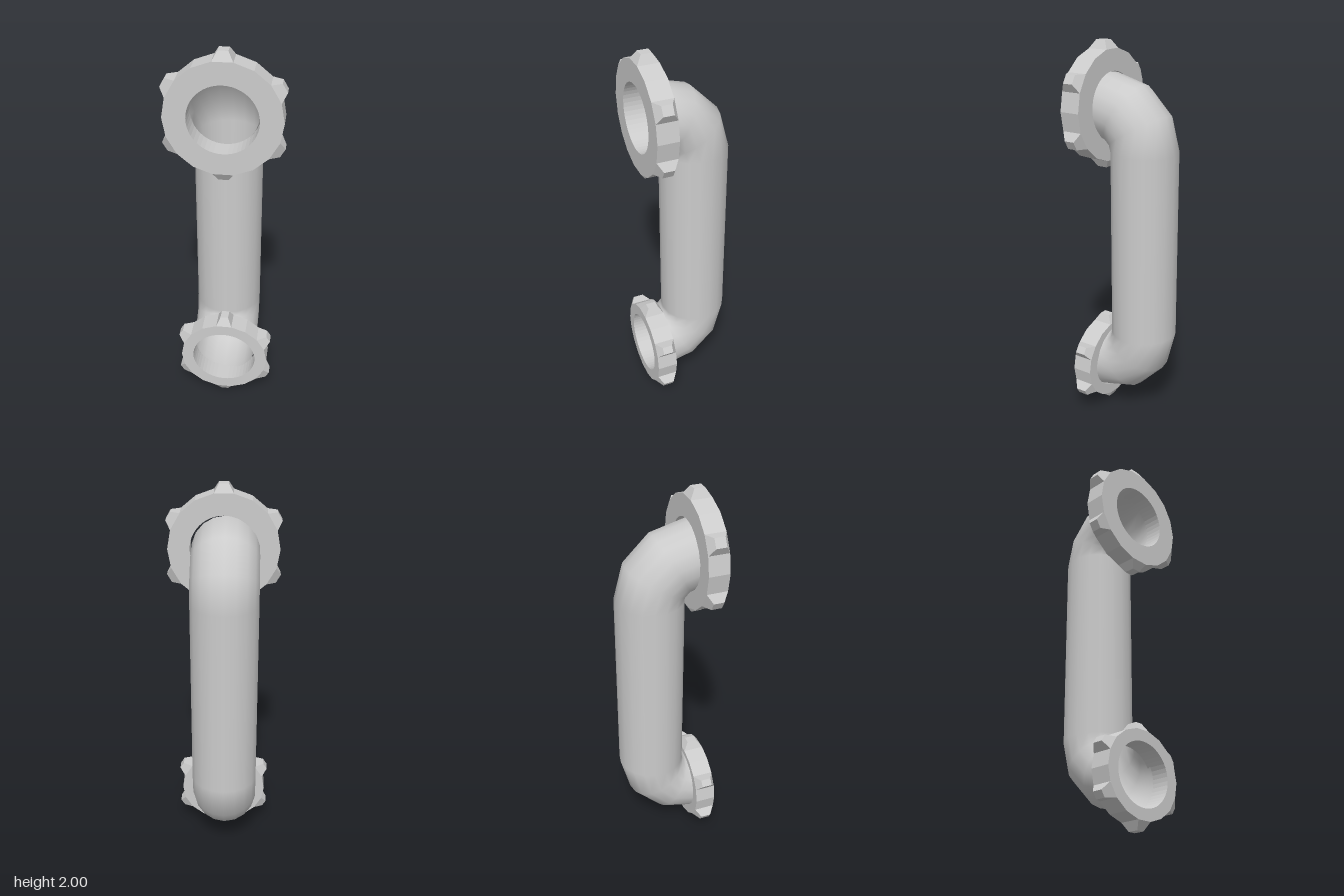
import * as THREE from 'three';

const SIDES = 18;

// Open pipe: two quarter bends joined by a straight run, one loop per bend step
function createPipe(material) {
  const pipeRadius = 0.173, bendRadius = 0.208, bendZ = 0.141;
  const stations = [];
  for (const a of [90, 60, 30, 0]) stations.push([a, 1.465]);
  for (const a of [0, -30, -60, -90]) stations.push([a, 0.475]);
  const geometry = new THREE.PlaneGeometry(1, 1, SIDES, stations.length - 1);
  const position = geometry.attributes.position, normal = geometry.attributes.normal;
  stations.forEach(([degrees, centreY], row) => {
    const a = THREE.MathUtils.degToRad(degrees);
    for (let i = 0; i <= SIDES; i++) {
      const u = (i / SIDES) * Math.PI * 2;
      const k = row * (SIDES + 1) + i;
      const out = bendRadius + pipeRadius * Math.cos(u);
      position.setXYZ(k, -pipeRadius * Math.sin(u), centreY + out * Math.sin(a), bendZ - out * Math.cos(a));
      normal.setXYZ(k, -Math.sin(u), Math.cos(u) * Math.sin(a), -Math.cos(u) * Math.cos(a));
    }
  });
  const pipe = new THREE.Mesh(geometry, material);
  pipe.name = 'pipe';
  return pipe;
}

// Box narrowed to half size at its outer end
function createLugGeometry(width, height, depth) {
  const geometry = new THREE.BoxGeometry(width, height, depth).toNonIndexed();
  const p = geometry.attributes.position;
  for (let i = 0; i < p.count; i++) {
    if (p.getY(i) > 0) p.setXYZ(i, p.getX(i) * 0.5, p.getY(i), p.getZ(i) * 0.5);
  }
  geometry.computeVertexNormals();
  return geometry;
}

// Eighteen-sided collar with a round hole and a lug on every third face
function createCollar(name, radius, tipRadius, holeRadius, material) {
  const depth = 0.107;
  const collar = new THREE.Group();
  collar.name = name;

  // Counter-clockwise outline, clockwise hole
  const outline = [];
  for (let i = 0; i < SIDES; i++) {
    const a = THREE.MathUtils.degToRad(10 + i * 20);
    outline.push(new THREE.Vector2(-radius * Math.sin(a), radius * Math.cos(a)));
  }
  const shape = new THREE.Shape(outline);
  shape.holes.push(new THREE.Path().absarc(0, 0, holeRadius, 0, Math.PI * 2, true));
  const bodyGeometry = new THREE.ExtrudeGeometry(shape, { depth, bevelEnabled: false, curveSegments: 24 });
  bodyGeometry.translate(0, 0, -depth / 2);
  const body = new THREE.Mesh(bodyGeometry, material);
  body.name = name + 'Body';
  collar.add(body);

  const half = Math.PI / SIDES;
  const apothem = radius * Math.cos(half);
  const lugGeometry = createLugGeometry(2 * radius * Math.sin(half), tipRadius - apothem, depth);
  lugGeometry.translate(0, (tipRadius + apothem) / 2, 0);
  for (let i = 0; i < 6; i++) {
    const lug = new THREE.Mesh(lugGeometry, material);
    lug.name = name + 'Lug';
    lug.rotation.z = (i * Math.PI) / 3;
    collar.add(lug);
  }
  return collar;
}

export function createModel() {
  const model = new THREE.Group();
  model.name = 'pipeFitting';
  const smooth = new THREE.MeshStandardMaterial({ color: 0xcccccc, side: THREE.DoubleSide });
  const faceted = new THREE.MeshStandardMaterial({ color: 0xcccccc, flatShading: true, side: THREE.DoubleSide });

  const pipe = createPipe(smooth);
  pipe.position.x = -0.0155;
  pipe.rotation.y = 0.027;
  model.add(pipe);

  // The upper collar is the larger one; the lower is slightly wider than tall
  const upper = createCollar('upperCollar', 0.282, 0.32, 0.17, faceted);
  upper.position.set(0, 1.68, 0.176);
  const lower = createCollar('lowerCollar', 0.218, 0.257, 0.158, faceted);
  lower.position.set(0, 0.259, 0.176);
  lower.scale.x = 1.07;
  for (const collar of [upper, lower]) {
    collar.rotation.y = 0.04;
    model.add(collar);
  }
  return model;
}
